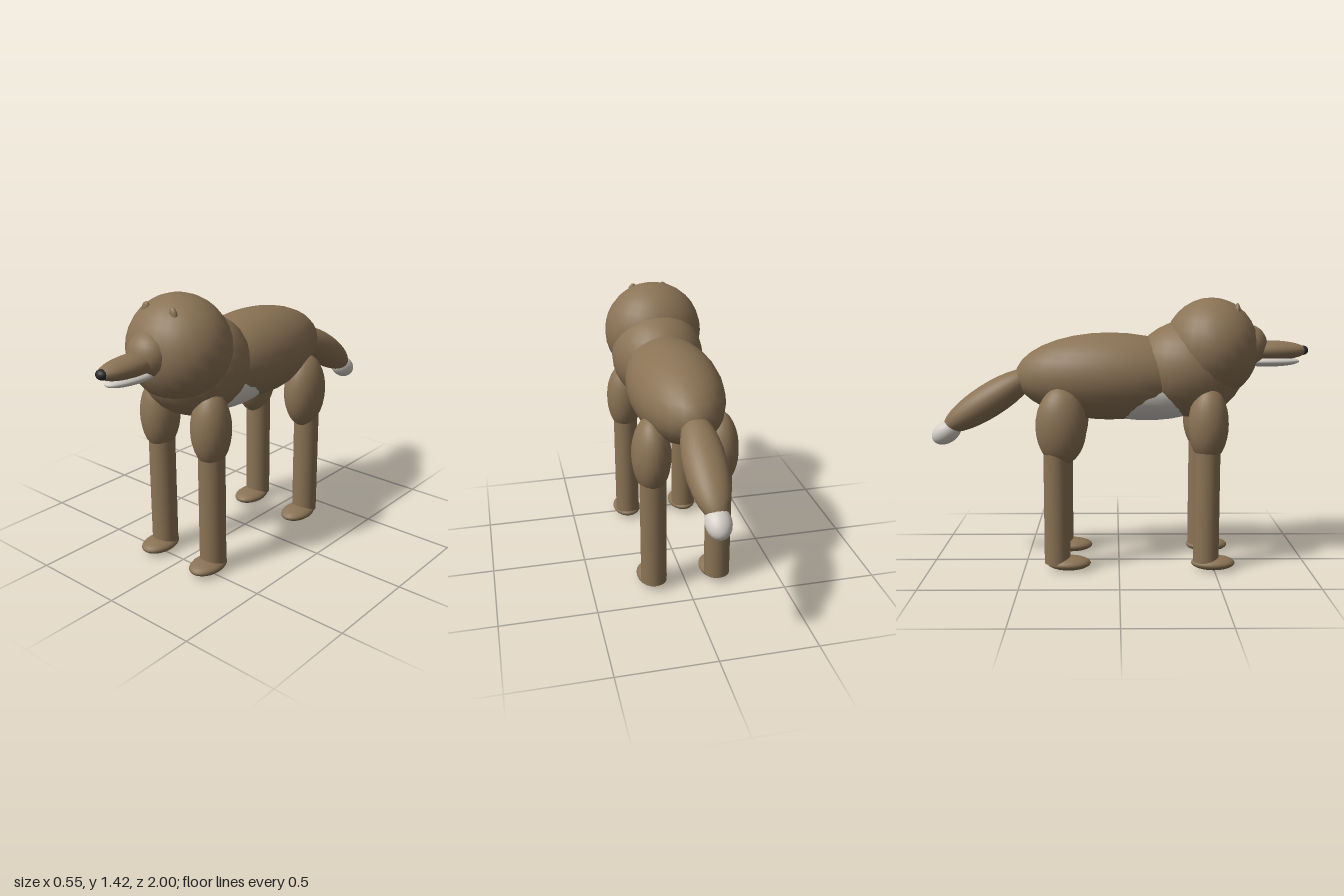
import * as THREE from 'three';

const fur = new THREE.MeshStandardMaterial({ color: 0x8b7355 });
fur.name = 'brown fur';
const pale = new THREE.MeshStandardMaterial({ color: 0xd3cec6 });
pale.name = 'pale fur';
const dark = new THREE.MeshStandardMaterial({ color: 0x2a2a2a });
dark.name = 'nose black';

export function createModel() {
  const model = new THREE.Group();
  model.name = 'fourLeggedAnimal';

  const ball = new THREE.SphereGeometry(1, 24, 16);

  // Ellipsoid from its centre and half-sizes
  function ellipsoid(name, material, centre, radii, parent = model) {
    const mesh = new THREE.Mesh(ball, material);
    mesh.name = name;
    mesh.position.set(...centre);
    mesh.scale.set(...radii);
    parent.add(mesh);
    return mesh;
  }

  // Trunk
  ellipsoid('body', fur, [0, 1.01, -0.05], [0.24, 0.23, 0.5]);
  ellipsoid('chest', fur, [0, 1.05, 0.37], [0.25, 0.255, 0.295]);
  ellipsoid('belly', pale, [0, 0.93, 0.15], [0.193, 0.155, 0.38]);

  // Head
  ellipsoid('head', fur, [0, 1.157, 0.485], [0.268, 0.265, 0.25]);
  ellipsoid('muzzleBase', fur, [0, 1.17, 0.68], [0.115, 0.112, 0.102]);
  ellipsoid('snout', fur, [0, 1.145, 0.795], [0.076, 0.053, 0.2]);
  ellipsoid('lowerJaw', pale, [0, 1.088, 0.785], [0.065, 0.028, 0.17]);
  ellipsoid('nose', dark, [0, 1.146, 0.972], [0.032, 0.025, 0.028]);

  // Tail, sloping down behind the body
  const tail = new THREE.Group();
  tail.name = 'tail';
  tail.position.set(0, 0.88, -0.69);
  tail.rotation.x = -0.56;
  model.add(tail);
  ellipsoid('tailBrush', fur, [0, 0, 0], [0.105, 0.09, 0.29], tail);
  ellipsoid('tailTip', pale, [0, -0.02, -0.288], [0.062, 0.06, 0.085], tail);

  // Ears and legs, mirrored left and right
  const shin = new THREE.CylinderGeometry(0.068, 0.068, 0.64, 24);
  for (const [side, s] of [['left', 1], ['right', -1]]) {
    const ear = ellipsoid(side + 'Ear', fur, [s * 0.09, 1.358, 0.61], [0.023, 0.036, 0.015]);
    ear.rotation.z = s * 0.3;

    const legs = [
      { end: 'Front', thigh: [0.775, 0.46], size: [0.1, 0.195, 0.105], shinZ: 0.457, footZ: 0.495 },
      { end: 'Rear', thigh: [0.765, -0.3], size: [0.1, 0.203, 0.132], shinZ: -0.325, footZ: -0.265 },
    ];
    for (const { end, thigh, size, shinZ, footZ } of legs) {
      const leg = new THREE.Group();
      leg.name = side + end + 'Leg';
      model.add(leg);
      ellipsoid('upperLeg', fur, [s * 0.174, ...thigh], size, leg);
      const lower = new THREE.Mesh(shin, fur);
      lower.name = 'lowerLeg';
      lower.position.set(s * 0.172, 0.36, shinZ);
      leg.add(lower);
      ellipsoid('foot', fur, [s * 0.172, 0.038, footZ], [0.08, 0.036, 0.115], leg);
    }
  }
  return model;
}
